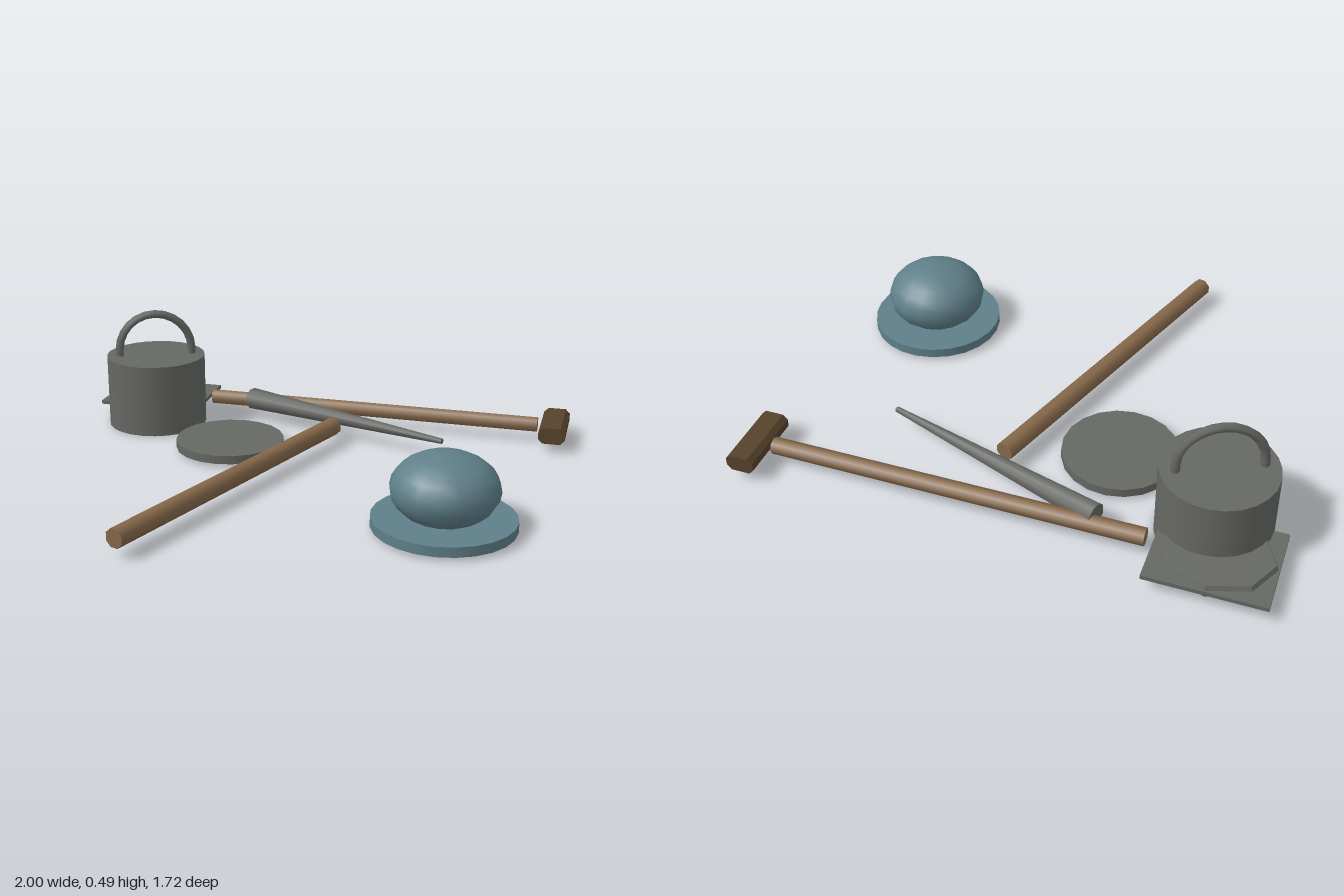
import * as THREE from 'three';

const paint = (name, color) => {
  const m = new THREE.MeshStandardMaterial({ color });
  m.name = name;
  return m;
};

export function createModel() {
  const model = new THREE.Group();
  const iron = paint('iron grey', 0x666864);
  const felt = paint('slate blue', 0x5f7f89);
  const wood = paint('wood', 0x86684a);
  const darkWood = paint('dark wood', 0x57422b);

  const add = (name, geometry, material, x, y, z, turn = 0, parent = model) => {
    const mesh = new THREE.Mesh(geometry, material);
    mesh.name = name;
    mesh.position.set(x, y, z);
    mesh.rotation.y = turn;
    parent.add(mesh);
    return mesh;
  };
  const group = (name) => {
    const g = new THREE.Group();
    g.name = name;
    model.add(g);
    return g;
  };

  // Round bar from point a (radius ra) to point b (radius rb)
  const bar = (name, a, b, ra, rb, material, parent = model) => {
    const start = new THREE.Vector3(...a);
    const end = new THREE.Vector3(...b);
    const axis = end.clone().sub(start);
    const mid = start.clone().add(end).multiplyScalar(0.5);
    const mesh = add(name, new THREE.CylinderGeometry(rb, ra, axis.length(), 8), material, ...mid.toArray(), 0, parent);
    mesh.quaternion.setFromUnitVectors(new THREE.Vector3(0, 1, 0), axis.normalize());
    return mesh;
  };

  // Bucket with an upright hoop
  const bucket = group('bucket');
  add('bucketBody', new THREE.CylinderGeometry(0.207, 0.207, 0.298, 24), iron, -0.74, 0.149, -0.51, 0, bucket);
  add('bucketHandle', new THREE.TorusGeometry(0.152, 0.017, 6, 12, Math.PI), iron, -0.74, 0.322, -0.51, 0.39, bucket);
  for (const side of [-1, 1]) {
    const x = -0.74 + side * 0.152 * Math.cos(0.39);
    const z = -0.51 - side * 0.152 * Math.sin(0.39);
    bar('handleFoot', [x, 0.29, z], [x, 0.324, z], 0.017, 0.017, iron, bucket);
  }

  // Loose lid on the ground
  add('lid', new THREE.CylinderGeometry(0.218, 0.218, 0.034, 20), iron, -0.34, 0.031, -0.243);

  // Hat: flat brim and squashed dome
  const hat = group('hat');
  add('hatBrim', new THREE.CylinderGeometry(0.258, 0.258, 0.037, 24), felt, 0.603, 0.032, 0.365, 0, hat);
  add('hatDome', new THREE.SphereGeometry(0.195, 16, 12), felt, 0.603, 0.155, 0.365, 0, hat).scale.y = 0.667;

  // Shovel: handle, chamfered cross grip, blade plate with a faceted bowl
  const shovel = group('shovel');
  const turn = -0.045;
  bar('shovelHandle', [-0.536, 0.072, -0.675], [0.872, 0.072, -0.612], 0.032, 0.032, wood, shovel);

  const w = 0.053, h = 0.033, c = 0.018;
  const section = new THREE.Shape([
    [w, h - c], [w - c, h], [c - w, h], [-w, h - c],
    [-w, c - h], [c - w, -h], [w - c, -h], [w, c - h],
  ].map(([x, y]) => new THREE.Vector2(x, y)));
  const grip = new THREE.ExtrudeGeometry(section, { depth: 0.265, bevelEnabled: false }).translate(0, 0, -0.1325);
  add('shovelGrip', grip, darkWood, 0.94, 0.071, -0.611, turn, shovel);

  add('shovelBlade', new THREE.BoxGeometry(0.43, 0.016, 0.345), iron, -0.778, 0.06, -0.683, turn, shovel);
  const bowl = new THREE.LatheGeometry(
    [[0, 0.03], [0.93, 0.033], [1, 0.058], [0.94, 0.085], [0, 0.088]].map(([x, y]) => new THREE.Vector2(x, y)), 8,
  ).scale(0.215, 1, 0.172).toNonIndexed();
  bowl.computeVertexNormals();
  add('shovelBowl', bowl, iron, -0.778, 0, -0.683, turn, shovel);

  // Tapered iron spike and loose wooden staff
  bar('spike', [-0.353, 0.088, -0.64], [0.515, 0.08, -0.302], 0.045, 0.011, iron);
  bar('staff', [0.055, 0.072, -0.405], [-0.427, 0.072, 0.843], 0.037, 0.037, wood);

  return model;
}
